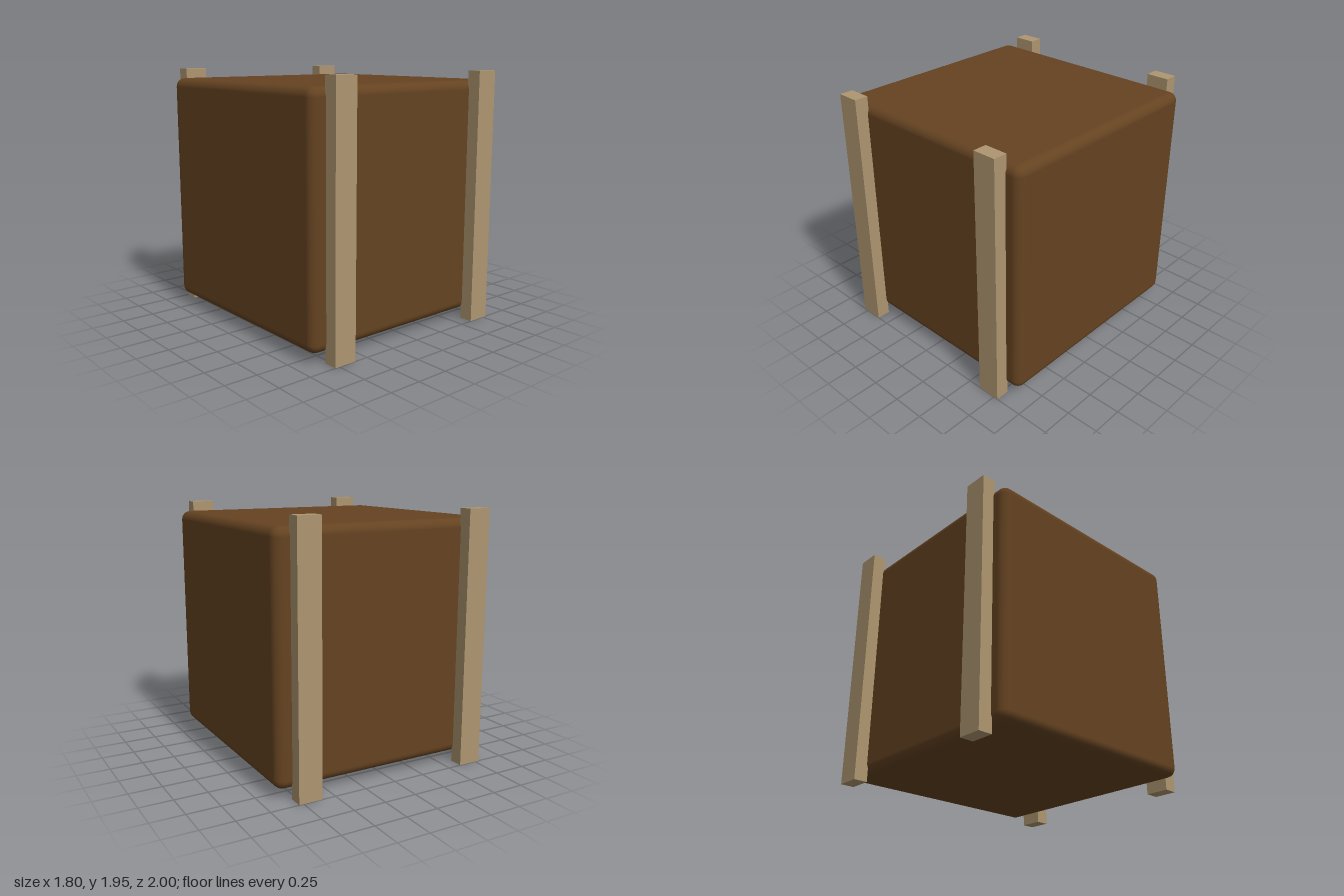
import * as THREE from 'three';
import { RoundedBoxGeometry } from 'three/addons/geometries/RoundedBoxGeometry.js';

export function createModel() {
  const model = new THREE.Group();
  model.name = 'crate';

  const brown = new THREE.MeshStandardMaterial({ color: 0x654321 });
  brown.name = 'dark brown';
  const tan = new THREE.MeshStandardMaterial({ color: 0xae9670 });
  tan.name = 'tan';

  // Soft-edged cube body, raised slightly off the ground
  const body = new THREE.Mesh(new RoundedBoxGeometry(1.805, 1.805, 1.805, 3, 0.07), brown);
  body.name = 'body';
  body.position.y = 0.975;
  model.add(body);

  // Upright slats, two on the front and two on the back
  const slatGeometry = new THREE.BoxGeometry(0.18, 1.95, 0.108);
  for (const [side, x] of [['Left', 0.695], ['Right', -0.695]]) {
    for (const [end, z] of [['front', 0.946], ['back', -0.946]]) {
      const slat = new THREE.Mesh(slatGeometry, tan);
      slat.name = `${end}${side}Slat`;
      slat.position.set(x, 0.975, z);
      model.add(slat);
    }
  }

  return model;
}
